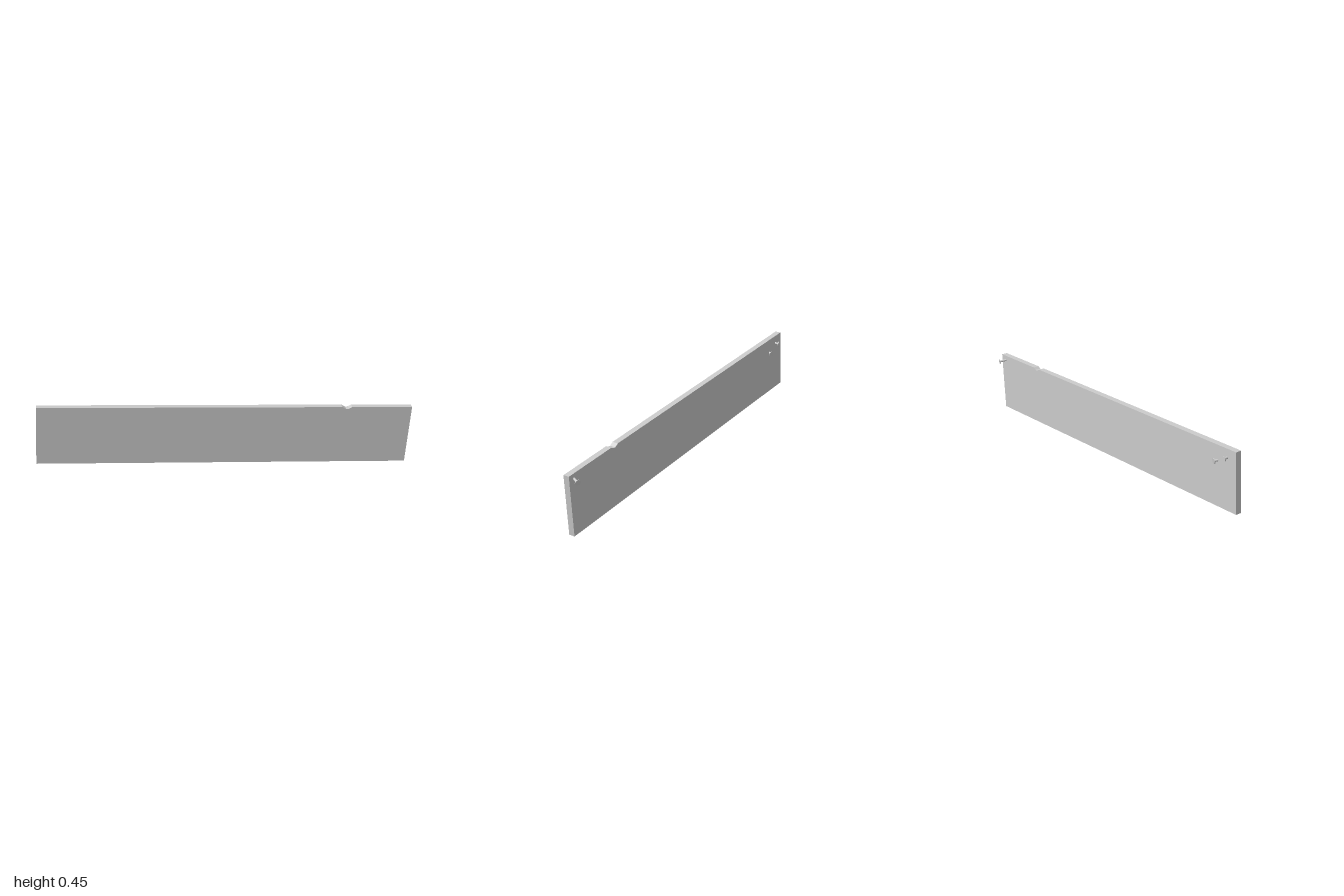
import * as THREE from 'three';

const material = new THREE.MeshStandardMaterial({ color: 0xcccccc });

// A nail runs from its base on the board's back face to the outer centre of its head
function createNail(name, base, tip) {
  const start = new THREE.Vector3(...base);
  const axis = new THREE.Vector3(...tip).sub(start);
  const length = axis.length();
  const inset = 0.006;
  const nail = new THREE.Group();
  nail.name = name;

  const shaft = new THREE.Mesh(
    new THREE.CylinderGeometry(0.006, 0.006, length + inset - 0.002, 16), material);
  shaft.name = 'nailShaft';
  shaft.position.y = (length - inset - 0.002) / 2;

  const head = new THREE.Mesh(new THREE.CylinderGeometry(0.015, 0.015, 0.004, 20), material);
  head.name = 'nailHead';
  head.position.y = length - 0.002;

  nail.add(shaft, head);
  nail.position.copy(start);
  nail.quaternion.setFromUnitVectors(new THREE.Vector3(0, 1, 0), axis.normalize());
  return nail;
}

export function createModel() {
  const model = new THREE.Group();
  model.name = 'nailedPlank';

  // Tilted plank with a small chip in its top edge
  const outline = new THREE.Shape([
    [-1, 0.129], [0.978, 0], [1, 0.325],
    [0.672, 0.346], [0.655, 0.337], [0.64, 0.336], [0.62, 0.349],
    [-0.979, 0.45],
  ].map(([x, y]) => new THREE.Vector2(x, y)));
  const plank = new THREE.Mesh(
    new THREE.ExtrudeGeometry(outline, { depth: 0.032, bevelEnabled: false }), material);
  plank.name = 'plank';
  plank.position.z = 0.005;
  model.add(plank);

  // Nails sticking out of the back, two of them bent over
  model.add(
    createNail('straightNail', [-0.922, 0.401, 0.005], [-0.922, 0.401, -0.022]),
    createNail('shortNail', [-0.856, 0.362, 0.005], [-0.849, 0.36, -0.014]),
    createNail('bentNail', [0.963, 0.3, 0.005], [0.978, 0.294, -0.03]),
  );
  return model;
}
